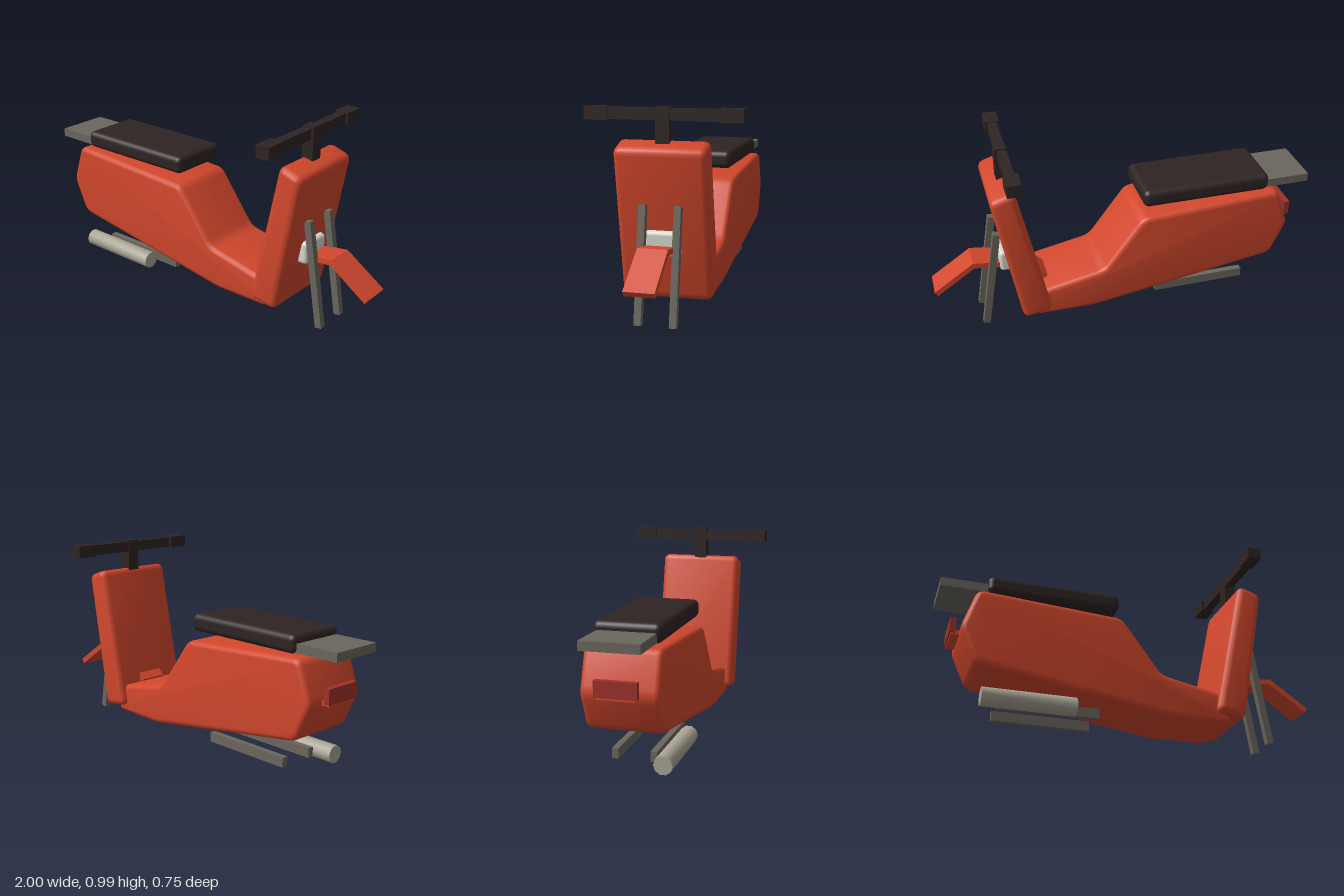
import * as THREE from 'three';
import { toCreasedNormals } from 'three/addons/utils/BufferGeometryUtils.js';
import { RoundedBoxGeometry } from 'three/addons/geometries/RoundedBoxGeometry.js';

const material = (name, color) => {
  const m = new THREE.MeshStandardMaterial({ color });
  m.name = name;
  return m;
};

// Closed side outline whose corners are rounded by radius r
function roundedOutline(points, r) {
  const pts = points.map(([x, y]) => new THREE.Vector2(x, y));
  const toward = (a, b) => a.clone().add(b.clone().sub(a).setLength(r));
  const shape = new THREE.Shape();
  pts.forEach((p, i) => {
    const a = toward(p, pts[(i + pts.length - 1) % pts.length]);
    const b = toward(p, pts[(i + 1) % pts.length]);
    if (i === 0) shape.moveTo(a.x, a.y);
    else shape.lineTo(a.x, a.y);
    shape.quadraticCurveTo(p.x, p.y, b.x, b.y);
  });
  shape.closePath();
  return shape;
}

// Side outline extruded across the full width, with soft edges
function softSlab(points, width, bevel) {
  const geo = new THREE.ExtrudeGeometry(roundedOutline(points, 0.035), {
    depth: width - 2 * bevel, curveSegments: 4, bevelEnabled: true,
    bevelThickness: bevel, bevelSize: bevel, bevelOffset: -bevel, bevelSegments: 3,
  });
  geo.translate(0, 0, bevel - width / 2);
  return toCreasedNormals(geo, 0.7);
}

export function createModel() {
  const group = new THREE.Group();
  group.name = 'scooter';
  const paint = material('orange paint', 0xd2472c);
  const black = material('black rubber', 0x2e2423);
  const metal = material('grey metal', 0x6b675e);
  const steel = material('exhaust steel', 0xaaa495);
  const lens = material('headlight lens', 0xd8d8d0);
  const red = material('tail light red', 0x9e302b);

  const add = (name, geo, mat, x = 0, y = 0, z = 0) => {
    const mesh = new THREE.Mesh(geo, mat);
    mesh.name = name;
    mesh.position.set(x, y, z);
    group.add(mesh);
    return mesh;
  };
  // Box given by its lower and upper corners
  const box = (name, mat, [x0, y0, z0], [x1, y1, z1]) =>
    add(name, new THREE.BoxGeometry(x1 - x0, y1 - y0, z1 - z0), mat,
      (x0 + x1) / 2, (y0 + y1) / 2, (z0 + z1) / 2);

  // Main body with footboard
  add('body', softSlab([
    [-0.82, 0.608], [-0.08, 0.565], [0.13, 0.283], [0.46, 0.215],
    [0.5, 0.065], [0.18, 0.062], [-0.805, 0.215], [-0.89, 0.4],
  ], 0.37, 0.025), paint);

  // Leg shield
  add('legShield', softSlab([
    [0.57, 0.85], [0.695, 0.81], [0.565, 0.085], [0.412, 0.11],
  ], 0.44, 0.03), paint);

  // Seat and rear rack
  add('seat', new RoundedBoxGeometry(0.68, 0.092, 0.326, 3, 0.03), black, -0.43, 0.66, 0);
  box('rearRack', metal, [-1, 0.621, -0.14], [-0.72, 0.665, 0.14]);

  // Tail light on its bracket
  box('tailBracket', paint, [-0.925, 0.39, -0.09], [-0.86, 0.415, 0.09]);
  box('tailLight', red, [-0.932, 0.4, -0.1], [-0.902, 0.477, 0.1]);

  // Handlebar
  box('steeringStem', black, [0.569, 0.8, -0.033], [0.63, 0.998, 0.033]);
  box('handlebar', black, [0.57, 0.936, -0.3], [0.617, 0.99, 0.3]);

  // Paired parts
  for (const s of [1, -1]) {
    const grip = new THREE.BoxGeometry(0.072, 0.062, 0.11);
    add('grip', grip, black, 0.592, 0.963, s * 0.32);
    const fork = add('frontFork', new THREE.BoxGeometry(0.036, 0.553, 0.034), metal, 0.706, 0.281, s * 0.084);
    fork.rotation.z = 0.165;
    add('swingArm', new THREE.BoxGeometry(0.5, 0.05, 0.032), metal, -0.425, 0.059, s * 0.094);
  }

  // Headlight between the forks
  add('headlight', new RoundedBoxGeometry(0.1, 0.118, 0.17, 2, 0.02), lens, 0.605, 0.37, 0);

  // Front fender: a bent strip passing through the shield
  const fender = new THREE.Shape([
    [0.41, 0.235], [0.5, 0.315], [0.68, 0.368], [0.79, 0.382], [0.998, 0.24],
    [0.982, 0.216], [0.785, 0.352], [0.69, 0.343], [0.52, 0.295], [0.43, 0.212],
  ].map(([x, y]) => new THREE.Vector2(x, y)));
  add('frontFender', new THREE.ExtrudeGeometry(fender, { depth: 0.144, bevelEnabled: false }), paint, 0, 0, -0.072);

  // Exhaust
  const pipe = toCreasedNormals(new THREE.CylinderGeometry(0.046, 0.046, 0.46, 10), 0.8);
  add('exhaust', pipe, steel, -0.54, 0.057, 0.166).rotation.z = Math.PI / 2;

  return group;
}
